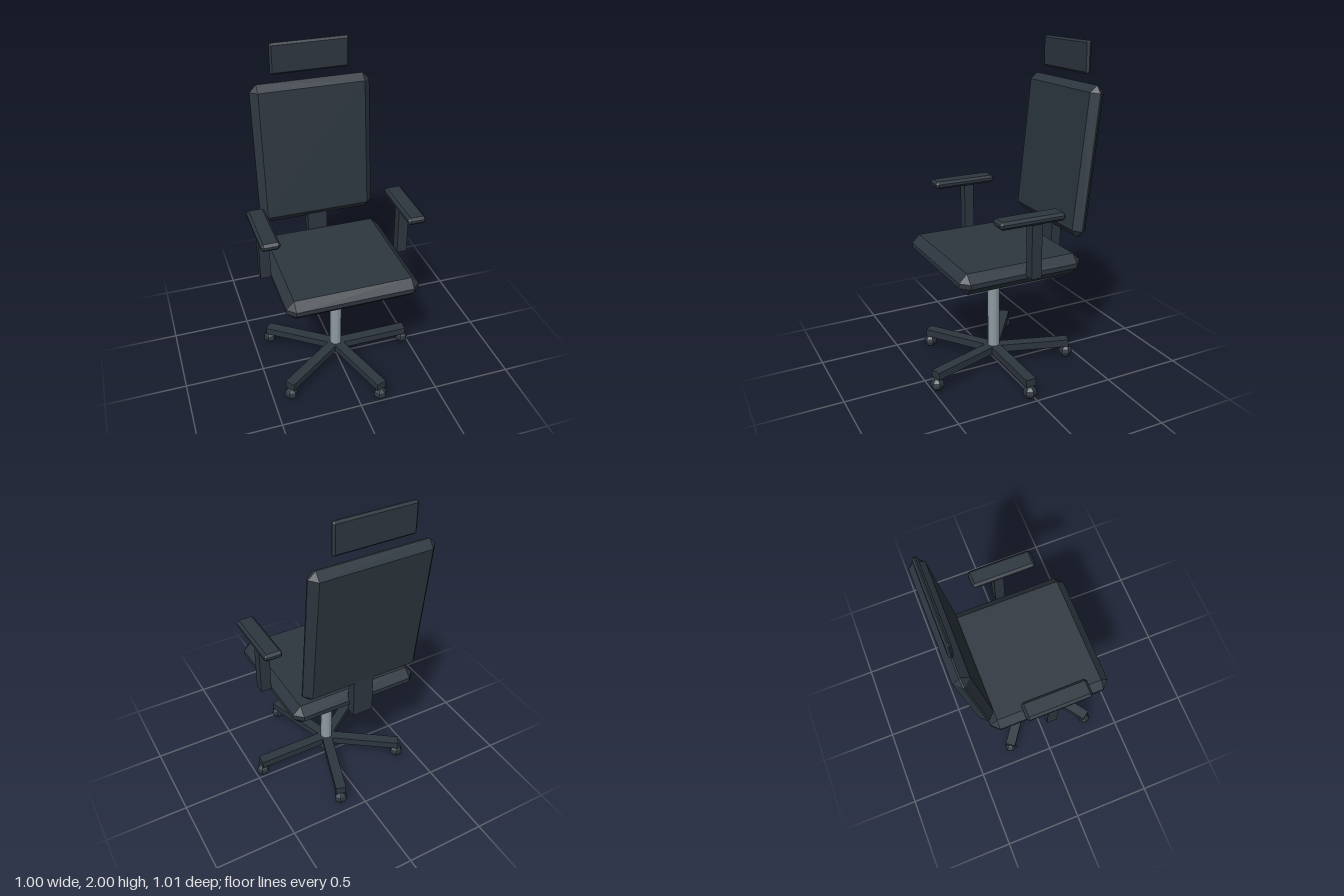
import * as THREE from 'three';
import { ConvexGeometry } from 'three/addons/geometries/ConvexGeometry.js';

const charcoal = new THREE.MeshStandardMaterial({ color: 0x2d363f, flatShading: true });
charcoal.name = 'charcoal';
const steel = new THREE.MeshStandardMaterial({ color: 0x8f9ba3, flatShading: true });
steel.name = 'steel';

// Box with every edge and corner cut by the same bevel
function chamferBox(w, h, d, b) {
  const points = [];
  for (const sx of [-1, 1]) for (const sy of [-1, 1]) for (const sz of [-1, 1]) {
    const x = w / 2, y = h / 2, z = d / 2;
    points.push(
      new THREE.Vector3(sx * x, sy * (y - b), sz * (z - b)),
      new THREE.Vector3(sx * (x - b), sy * y, sz * (z - b)),
      new THREE.Vector3(sx * (x - b), sy * (y - b), sz * z)
    );
  }
  return new ConvexGeometry(points);
}

export function createModel() {
  const chair = new THREE.Group();
  chair.name = 'officeChair';

  const add = (parent, name, geometry, material, x, y, z) => {
    const mesh = new THREE.Mesh(geometry, material);
    mesh.name = name;
    mesh.position.set(x, y, z);
    parent.add(mesh);
    return mesh;
  };

  // Seat and gas column
  add(chair, 'seat', chamferBox(0.804, 0.124, 0.775, 0.048), charcoal, 0, 0.745, 0);
  add(chair, 'column', new THREE.CylinderGeometry(0.037, 0.037, 0.59, 12), steel, 0, 0.395, 0);

  // Leaning backrest, its bracket and the separate headrest
  const backrest = add(chair, 'backrest', chamferBox(0.738, 0.881, 0.093, 0.042), charcoal, 0, 1.327, -0.436);
  backrest.rotation.x = -0.108;
  add(chair, 'backBracket', new THREE.BoxGeometry(0.125, 0.25, 0.063), charcoal, 0, 0.808, -0.404);
  add(chair, 'headrest', chamferBox(0.48, 0.186, 0.03, 0.012), charcoal, 0, 1.907, -0.484);

  // Armrests
  for (const side of [-1, 1]) {
    const arm = new THREE.Group();
    arm.name = side > 0 ? 'leftArmrest' : 'rightArmrest';
    add(arm, 'armPost', new THREE.BoxGeometry(0.064, 0.335, 0.063), charcoal, side * 0.436, 0.917, -0.031);
    add(arm, 'armPad', chamferBox(0.111, 0.046, 0.402, 0.015), charcoal, side * 0.436, 1.092, 0);
    chair.add(arm);
  }

  // Five-spoke base with a ball caster under each tip
  const base = new THREE.Group();
  base.name = 'base';
  for (let i = 0; i < 5; i++) {
    const angle = (i * Math.PI * 2) / 5;
    const c = Math.cos(angle), s = Math.sin(angle);
    const spoke = add(base, 'spoke', new THREE.BoxGeometry(0.48, 0.047, 0.064), charcoal, c * 0.24, 0.108, s * 0.24);
    spoke.rotation.y = -angle;
    add(base, 'caster', new THREE.SphereGeometry(0.042, 6, 6), charcoal, c * 0.469, 0.042, s * 0.469);
  }
  chair.add(base);

  // Centre the whole chair on its bounding box
  chair.position.set(-0.011, 0, 0.026);
  const model = new THREE.Group();
  model.name = 'chair';
  model.add(chair);
  return model;
}
